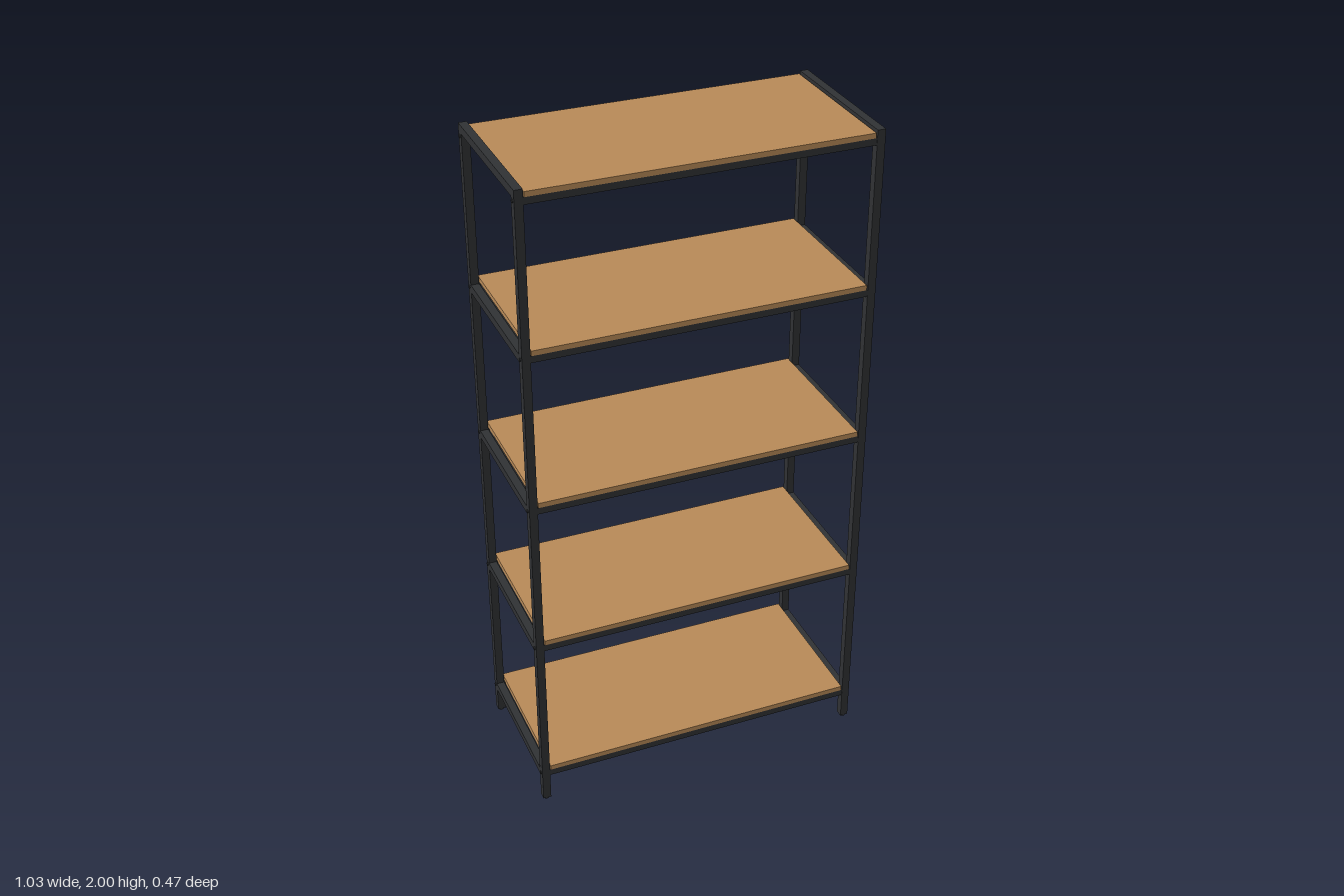
import * as THREE from 'three';

export function createModel() {
  const wood = new THREE.MeshStandardMaterial({ color: 0xb88a58 });
  wood.name = 'wood';
  const metal = new THREE.MeshStandardMaterial({ color: 0x303234 });
  metal.name = 'dark metal';

  const model = new THREE.Group();
  model.name = 'shelfRack';

  const TUBE = 0.024;   // square tube width
  const POST_X = 0.5, POST_Z = 0.222;
  const BOARD_X = 0.485, BOARD_Z = 0.233;
  const SIDES = [-1, 1];

  function box(parent, name, material, w, h, d, x, y, z) {
    const mesh = new THREE.Mesh(new THREE.BoxGeometry(w, h, d), material);
    mesh.name = name;
    mesh.position.set(x, y, z);
    parent.add(mesh);
    return mesh;
  }

  // Undersides of the shelf frames, bottom to top
  const levels = [0.093, 0.565, 1.038, 1.511, 1.957];

  // Two end ladders: posts, feet, cross rails and bolts
  for (const sx of SIDES) {
    const ladder = new THREE.Group();
    ladder.name = sx > 0 ? 'leftLadder' : 'rightLadder';
    model.add(ladder);

    for (const sz of SIDES) {
      box(ladder, 'post', metal, TUBE, 1.968, TUBE, sx * POST_X, 0.992, sz * POST_Z);
      const foot = new THREE.Mesh(new THREE.CylinderGeometry(0.011, 0.008, 0.009, 16), metal);
      foot.name = 'foot';
      foot.position.set(sx * POST_X, 0.0045, sz * POST_Z);
      ladder.add(foot);

      for (const y of levels) {
        const bolt = new THREE.Mesh(new THREE.CylinderGeometry(0.005, 0.005, 0.004, 12), metal);
        bolt.name = 'bolt';
        bolt.rotation.z = Math.PI / 2;
        bolt.position.set(sx * (POST_X + TUBE / 2 + 0.001), y + 0.01, sz * POST_Z);
        ladder.add(bolt);
      }
    }

    box(ladder, 'topRail', metal, TUBE, TUBE, 2 * BOARD_Z + 0.002, sx * POST_X, 2 - TUBE / 2, 0);
    for (const y of levels.slice(0, -1)) {
      box(ladder, 'crossRail', metal, TUBE, TUBE, 2 * POST_Z - TUBE, sx * POST_X, y + 0.008, 0);
    }
  }

  // Shelves: a wooden board on a four-sided metal frame
  for (const y of levels) {
    const shelf = new THREE.Group();
    shelf.name = 'shelf';
    shelf.position.y = y;
    model.add(shelf);

    const railH = 0.02;
    box(shelf, 'board', wood, 2 * BOARD_X, 0.015, 2 * BOARD_Z, 0, railH + 0.0075, 0);
    for (const s of SIDES) {
      box(shelf, 'longRail', metal, 2 * POST_X - TUBE, railH, 0.022, 0, railH / 2, s * (BOARD_Z - 0.011));
      box(shelf, 'endRail', metal, 0.02, railH, 2 * BOARD_Z - 0.044, s * (BOARD_X - 0.011), railH / 2, 0);
    }
  }

  return model;
}
